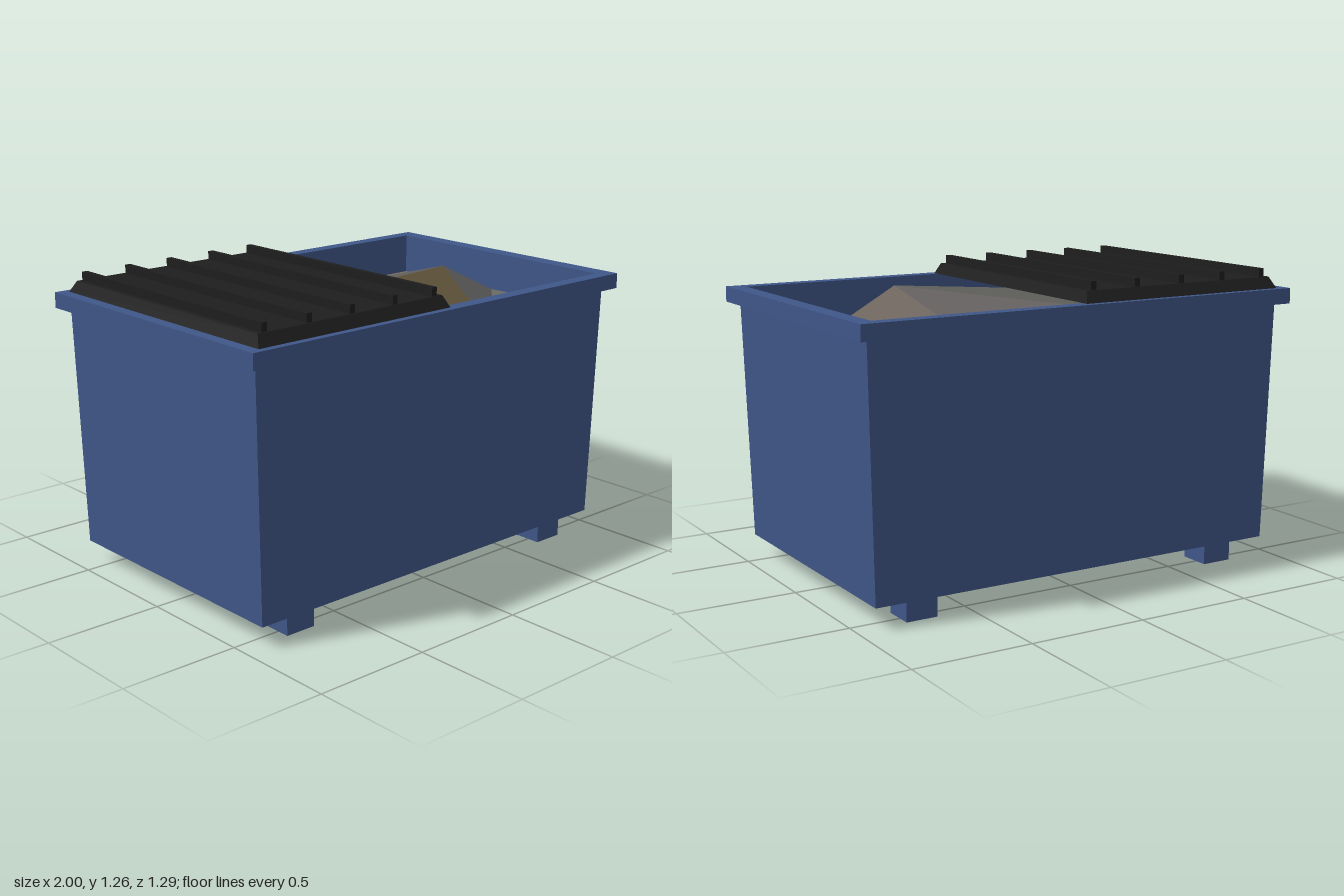
import * as THREE from 'three';

const paint = (color) => new THREE.MeshStandardMaterial({ color, flatShading: true });

function trianglesToGeometry(positions) {
  const geometry = new THREE.BufferGeometry();
  geometry.setAttribute('position', new THREE.Float32BufferAttribute(positions, 3));
  geometry.computeVertexNormals();
  return geometry;
}

// Skins a stack of rectangles, each given as [xMin, xMax, y, zHalf]
function loftRectangles(levels) {
  const rings = levels.map(([x0, x1, y, z]) => [[x0, y, z], [x1, y, z], [x1, y, -z], [x0, y, -z]]);
  const positions = [];
  for (let i = 0; i < rings.length - 1; i++) {
    for (let j = 0; j < 4; j++) {
      const k = (j + 1) % 4;
      const a = rings[i][j], b = rings[i][k], c = rings[i + 1][k], d = rings[i + 1][j];
      positions.push(...a, ...b, ...c, ...a, ...c, ...d);
    }
  }
  return trianglesToGeometry(positions);
}

export function createModel() {
  const model = new THREE.Group();
  model.name = 'wasteContainer';
  const blue = paint(0x3f5688);
  const black = paint(0x1e1e1e);

  const add = (name, geometry, material, parent = model) => {
    const mesh = new THREE.Mesh(geometry, material);
    mesh.name = name;
    parent.add(mesh);
    return mesh;
  };

  // Tapered tub: floor, outer walls, overhanging rim, then down the inside
  const tub = [
    [0, 0.09, 0], [0.93, 0.09, 0.585], [0.955, 1.11, 0.6], [1, 1.11, 0.645],
    [1, 1.175, 0.645], [0.93, 1.175, 0.585], [0.93, 0.95, 0.585],
  ];
  add('tub', loftRectangles(tub.map(([x, y, z]) => [-x, x, y, z])), blue);

  // Four block feet
  for (const x of [-1, 1]) {
    for (const z of [-1, 1]) {
      add('foot', new THREE.BoxGeometry(0.135, 0.09, 0.135), blue)
        .position.set(x * 0.718, 0.045, z * 0.488);
    }
  }

  // Lid with bevelled edges and raised ribs, covering one half
  const lid = new THREE.Group();
  lid.name = 'lid';
  model.add(lid);
  add('lidPanel', loftRectangles([
    [-0.47, -0.47, 1.175, 0], [-0.95, 0.01, 1.175, 0.615],
    [-0.93, -0.008, 1.222, 0.585], [-0.47, -0.47, 1.222, 0],
  ]), black, lid);
  for (const x of [-0.895, -0.685, -0.475, -0.255, -0.045]) {
    add('lidRib', new THREE.BoxGeometry(0.025, 0.045, 1.16), black, lid)
      .position.set(x, 1.235, 0);
  }

  // Heap of rubbish: facets fanning from a peak to the inner walls
  const rubbish = new THREE.Group();
  rubbish.name = 'rubbish';
  model.add(rubbish);
  const peak = [0.47, 1.2, 0.12];
  const frontMid = [0.3, 1.015, 0.585], rightMid = [0.93, 1.005, -0.02];
  const backMid = [0.4, 1, -0.585], leftMid = [-0.93, 1.1, -0.03];
  const backLeft = [-0.93, 1.01, -0.585];
  const facets = [
    [0x706660, peak, rightMid, backMid],
    [0x746a58, rightMid, [0.93, 1, -0.585], backMid],
    [0x686464, peak, backMid, backLeft],
    [0x5f605c, peak, backLeft, leftMid],
    [0x5c5038, peak, leftMid, frontMid],
    [0x504c44, leftMid, [-0.93, 1.01, 0.585], frontMid],
    [0x666766, peak, frontMid, rightMid],
    [0x6a6b66, frontMid, [0.93, 1.015, 0.585], rightMid],
  ];
  for (const [color, ...corners] of facets) {
    add('rubbishFacet', trianglesToGeometry(corners.flat()), paint(color), rubbish);
  }

  return model;
}
